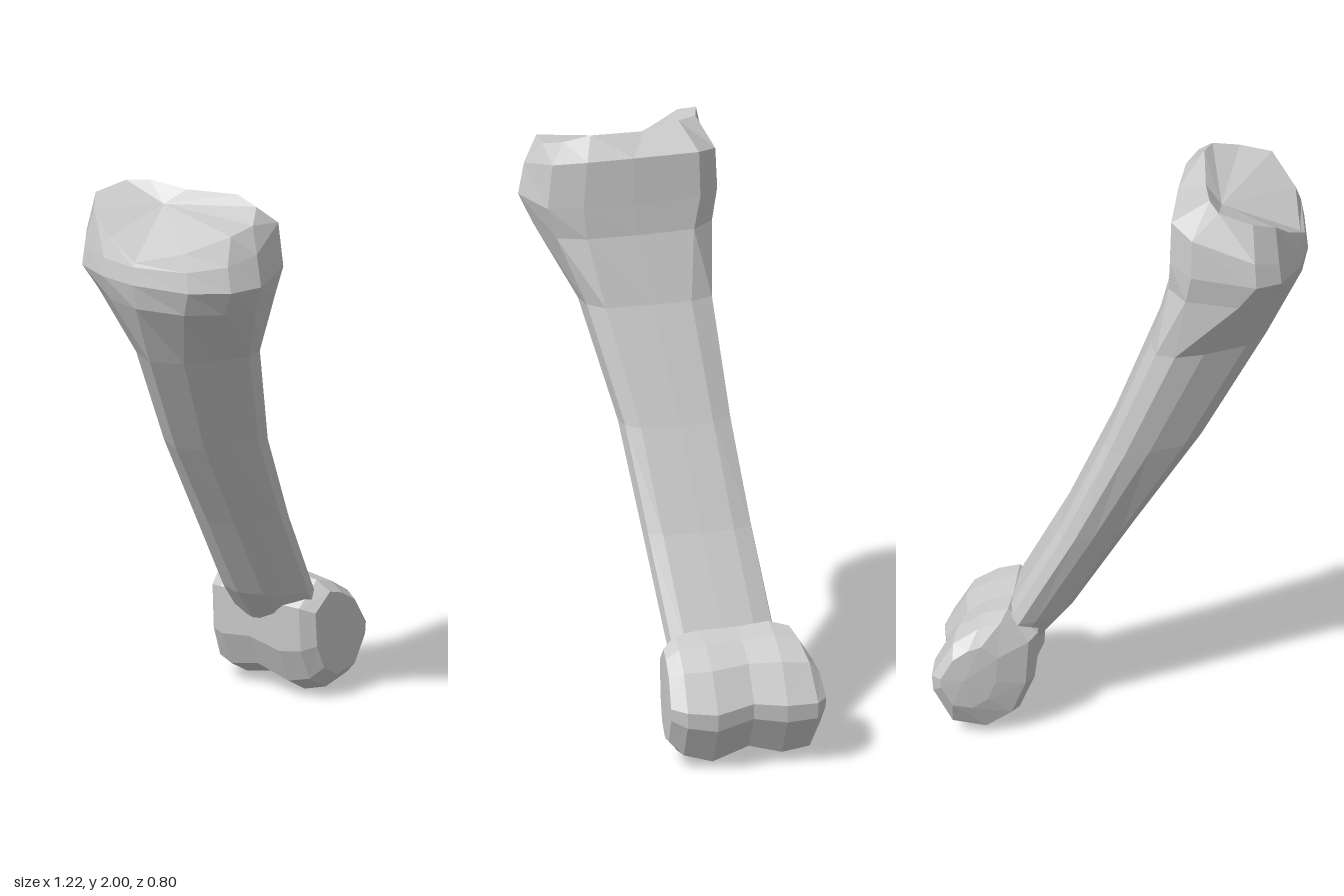
import * as THREE from 'three';

// Faceted skin over a list of equal-length rings; an end is closed if given a centre.
function loft(name, rings, startCentre, endCentre) {
  const pos = [];
  const tri = (...pts) => pts.forEach((p) => pos.push(p[0], p[1], p[2]));
  const n = rings[0].length;
  const last = rings[rings.length - 1];
  for (let i = 0; i < n; i++) {
    const j = (i + 1) % n;
    if (startCentre) tri(startCentre, rings[0][j], rings[0][i]);
    for (let r = 0; r < rings.length - 1; r++) {
      const a = rings[r], b = rings[r + 1];
      tri(a[i], a[j], b[i]);
      tri(a[j], b[j], b[i]);
    }
    if (endCentre) tri(endCentre, last[i], last[j]);
  }
  const geo = new THREE.BufferGeometry();
  geo.setAttribute('position', new THREE.Float32BufferAttribute(pos, 3));
  geo.computeVertexNormals();
  const mesh = new THREE.Mesh(geo, new THREE.MeshStandardMaterial({ color: 0xcccccc, flatShading: true }));
  mesh.name = name;
  return mesh;
}

// Unit cross-sections (x, z): broad oval for the upper head, wedge for the shaft.
const HEAD = [[1, 0], [0.98, 0.5], [0.85, 0.85], [0, 1], [-0.45, 0.85], [-0.82, 0.5],
  [-1, -0.1], [-0.95, -0.5], [-0.75, -0.85], [-0.4, -1], [0.6, -0.94], [0.97, -0.7]];
const SHAFT = [[1, 0], [0.96, 0.72], [0.67, 0.95], [0.28, 1], [-0.2, 0.72], [-0.7, 0.4],
  [-1, -0.05], [-0.7, -0.5], [0, -0.85], [0.5, -1], [0.85, -0.95], [1, -0.6]];

// Ring at height y filling the given x and z range; blend goes from HEAD to SHAFT.
function section([y, x0, x1, z0, z1, blend = 1, tilt = 0]) {
  return HEAD.map((h, i) => {
    const u = THREE.MathUtils.lerp(h[0], SHAFT[i][0], blend);
    const v = THREE.MathUtils.lerp(h[1], SHAFT[i][1], blend);
    return [(x0 + x1) / 2 + (u * (x1 - x0)) / 2, y + tilt * u, (z0 + z1) / 2 + (v * (z1 - z0)) / 2];
  });
}

export function createModel() {
  const bone = new THREE.Group();
  bone.name = 'bone';
  const neck = [1.43, -0.475, -0.1, -0.21, 0.235];

  // Upper head: front and back lobes with a valley opening toward -x
  const rim = [
    [-0.27, 1.985, 0], [-0.24, 2, 0.19], [-0.255, 1.98, 0.28], [-0.34, 1.95, 0.33],
    [-0.45, 1.94, 0.32], [-0.545, 1.88, 0.2], [-0.585, 1.82, 0.02], [-0.565, 1.88, -0.1],
    [-0.53, 1.95, -0.19], [-0.46, 1.98, -0.235], [-0.34, 1.995, -0.2], [-0.3, 2, -0.13],
  ];
  const headRings = [
    [1.87, -0.6, -0.17, -0.265, 0.38, 0, 0.06],
    [1.76, -0.61, -0.165, -0.272, 0.4, 0, 0.01],
    [1.66, -0.59, -0.16, -0.245, 0.355, 0.25],
    neck,
  ].map(section);
  bone.add(loft('upperHead', [rim, ...headRings], [-0.33, 1.94, -0.05]));

  // Slender leaning shaft, running into the lower head
  const shaftRings = [
    neck,
    [1.05, -0.262, 0.05, -0.23, 0.145],
    [0.72, -0.045, 0.2, -0.258, 0.11],
    [0.4, 0.16, 0.375, -0.288, 0.08],
    [0.28, 0.26, 0.46, -0.3, 0.07],
  ].map(section);
  bone.add(loft('shaft', shaftRings));

  // Lower head: roller along z with a groove in the middle and slanted ends
  const outline = [[0.26, 0.35], [0.36, 0.435], [0.44, 0.41], [0.53, 0.35], [0.605, 0.22],
    [0.6, 0.16], [0.53, 0.03], [0.41, 0.005], [0.32, 0.06], [0.27, 0.18]];
  const rollerRings = [
    // z, scale, x shift, y shift, slant
    [0.115, 0.7, -0.005, 0.02, 0.08],
    [0.07, 0.91, -0.005, 0.01, 0.06],
    [-0.02, 1, 0, 0, 0],
    [-0.15, 0.91, -0.01, 0.02, 0],
    [-0.26, 1, 0, 0.01, 0],
    [-0.34, 0.92, 0.01, 0.01, -0.16],
    [-0.38, 0.54, 0.04, 0.02, -0.13],
  ].map(([z, s, dx, dy, slant]) => outline.map(([x, y]) =>
    [0.44 + dx + (x - 0.44) * s, 0.21 + dy + (y - 0.21) * s, z + slant * (x - 0.44)]));
  bone.add(loft('lowerHead', rollerRings, [0.44, 0.22, 0.118], [0.49, 0.23, -0.39]));

  return bone;
}
